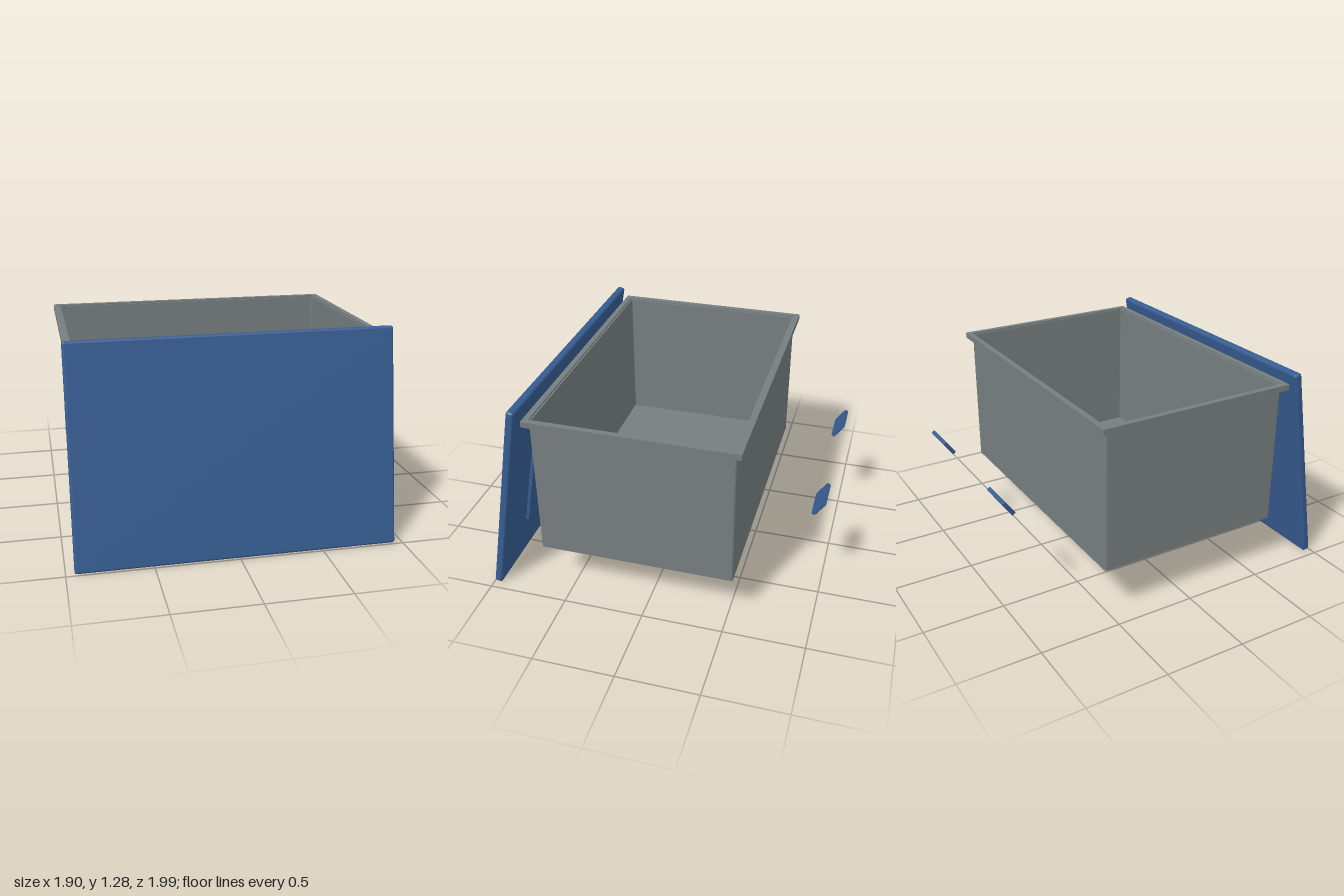
import * as THREE from 'three';
import { RoundedBoxGeometry } from 'three/addons/geometries/RoundedBoxGeometry.js';

const DEG = Math.PI / 180;

// Rounded rectangle centred on the origin, given by half sizes
function roundedRect(hx, hz, r, Type = THREE.Shape) {
  const s = new Type();
  s.moveTo(hx, -hz + r);
  s.lineTo(hx, hz - r);
  s.absarc(hx - r, hz - r, r, 0, Math.PI / 2);
  s.absarc(-hx + r, hz - r, r, Math.PI / 2, Math.PI);
  s.absarc(-hx + r, -hz + r, r, Math.PI, Math.PI * 1.5);
  s.absarc(hx - r, -hz + r, r, Math.PI * 1.5, Math.PI * 2);
  return s;
}

// Upright slab of a rounded rectangle from y0 to y1, optionally hollow
function slab(outer, inner, y0, y1) {
  const shape = roundedRect(...outer);
  if (inner) shape.holes.push(roundedRect(...inner, THREE.Path));
  const g = new THREE.ExtrudeGeometry(shape, { depth: y1 - y0, bevelEnabled: false, curveSegments: 4 });
  g.rotateX(-Math.PI / 2);
  g.translate(0, y0, 0);
  return g;
}

export function createModel() {
  const grey = new THREE.MeshStandardMaterial({ color: 0x767e7f });
  grey.name = 'grey plastic';
  const blue = new THREE.MeshStandardMaterial({ color: 0x365c91 });
  blue.name = 'blue plastic';

  const model = new THREE.Group();
  model.name = 'storageBox';
  const add = (parent, name, geometry, material) => {
    const mesh = new THREE.Mesh(geometry, material);
    mesh.name = name;
    parent.add(mesh);
    return mesh;
  };

  // Open container: floor, thin walls and overhanging rim
  const container = new THREE.Group();
  container.name = 'container';
  container.position.z = 0.067;
  model.add(container);
  add(container, 'floor', slab([0.9, 0.6, 0.015], null, 0.32, 0.335), grey);
  add(container, 'walls', slab([0.9, 0.6, 0.015], [0.89, 0.588, 0.008], 0.335, 1.215), grey);
  add(container, 'rim', slab([0.935, 0.633, 0.004], [0.899, 0.598, 0.004], 1.19, 1.225), grey);

  // Lid leaning against the front, with a raised panel on its inner face
  const lid = new THREE.Group();
  lid.name = 'lid';
  lid.position.set(0, 0.643, 0.863);
  lid.rotation.x = -10 * DEG;
  model.add(lid);
  add(lid, 'lidPlate', new RoundedBoxGeometry(1.9, 1.296, 0.05, 3, 0.015), blue);
  const panel = add(lid, 'innerPanel', new THREE.BoxGeometry(1.26, 0.71, 0.03), blue);
  panel.position.z = -0.03;

  // Pair of tilted latches behind the container
  for (const [side, name] of [[1, 'leftLatch'], [-1, 'rightLatch']]) {
    const latch = add(model, name, new RoundedBoxGeometry(0.21, 0.11, 0.025, 2, 0.004), blue);
    latch.position.set(side * 0.452, 0.682, -0.957);
    latch.rotation.x = -35 * DEG;
  }

  return model;
}
